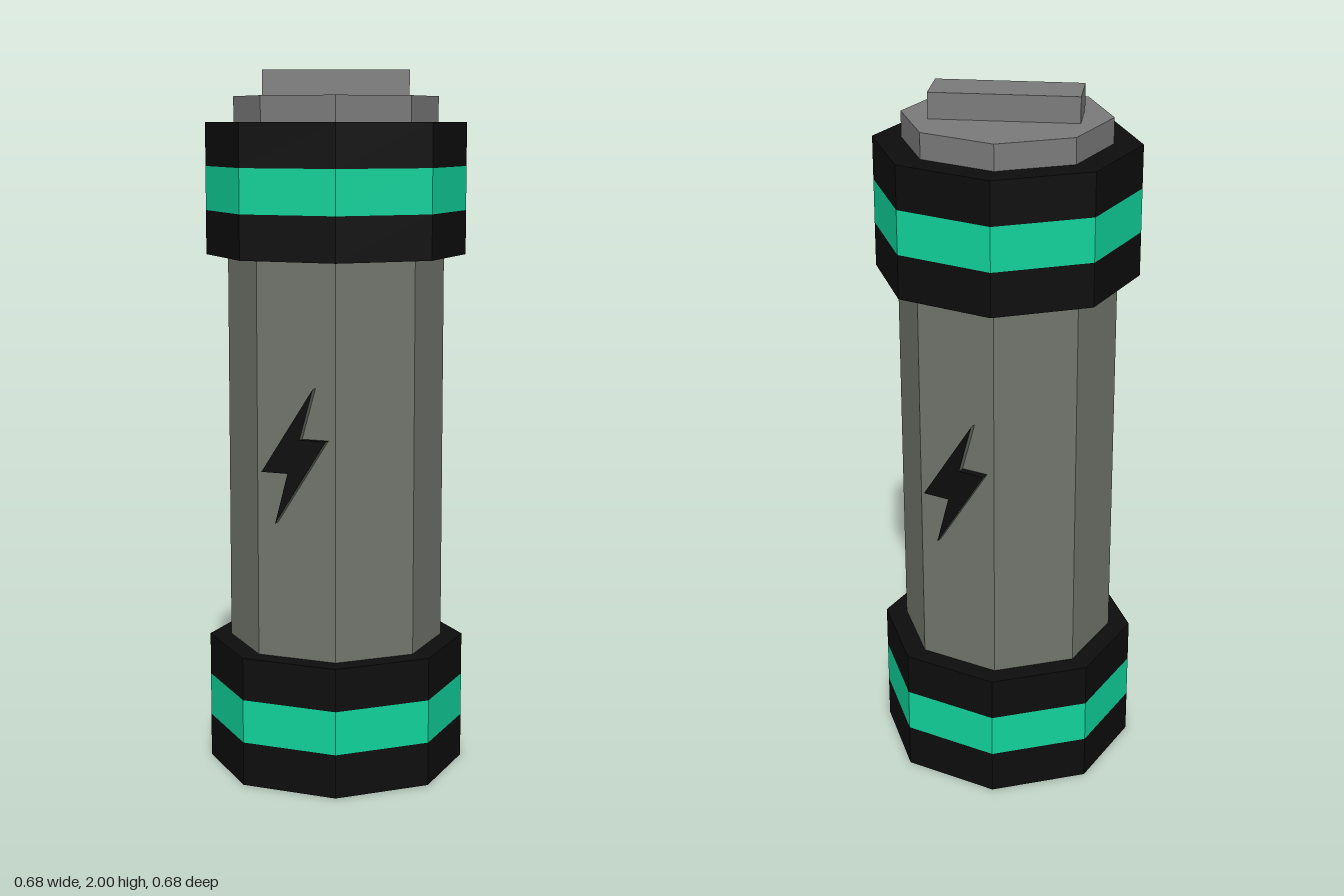
import * as THREE from 'three';

const paint = (color) => new THREE.MeshStandardMaterial({ color, flatShading: true });

export function createModel() {
  const model = new THREE.Group();
  model.name = 'battery';
  const black = paint(0x0d0d0d);
  const green = paint(0x10d39b);
  const bodyGrey = paint(0x72756d);
  const capGrey = paint(0x7a7a7a);

  const add = (name, geometry, material, parent = model) => {
    const mesh = new THREE.Mesh(geometry, material);
    mesh.name = name;
    parent.add(mesh);
    return mesh;
  };

  // Eight-sided prism with flat faces towards the axes
  const prism = (name, apothem, y0, y1, material, parent) => {
    const r = apothem / Math.cos(Math.PI / 8);
    const geometry = new THREE.CylinderGeometry(r, r, y1 - y0, 8);
    geometry.rotateY(Math.PI / 8);
    geometry.translate(0, (y0 + y1) / 2, 0);
    return add(name, geometry, material, parent);
  };

  prism('body', 0.284, 0.2, 1.7, bodyGrey);

  // Collars at both ends: black, green, black
  for (const [name, y] of [['lowerCollar', 0], ['upperCollar', 1.485]]) {
    const collar = new THREE.Group();
    collar.name = name;
    collar.position.y = y;
    model.add(collar);
    prism('lowerRing', 0.341, 0, 0.125, black, collar);
    prism('colourBand', 0.341, 0.125, 0.249, green, collar);
    prism('upperRing', 0.341, 0.249, 0.371, black, collar);
  }

  // Terminal cap and its turned grip bar
  prism('terminalCap', 0.267, 1.8, 1.928, capGrey);
  const bar = add('gripBar', new THREE.BoxGeometry(0.409, 0.08, 0.145), capGrey);
  bar.position.y = 1.96;
  bar.rotation.y = Math.PI / 8;

  // Raised flash symbol, front and back
  const points = [[0.058, 1.139], [-0.097, 0.9], [-0.018, 0.9],
    [-0.056, 0.757], [0.096, 0.996], [0.018, 0.996]];
  const outline = new THREE.Shape(points.map(([x, y]) => new THREE.Vector2(x, y)));
  const flash = new THREE.ExtrudeGeometry(outline, { depth: 0.03, bevelEnabled: false });
  flash.translate(0, 0, 0.274);
  // The edges facing one way take the body colour
  const normals = flash.attributes.normal;
  flash.clearGroups();
  for (let i = 0; i < normals.count; i += 3) flash.addGroup(i, 3, normals.getX(i) > 0.1 ? 1 : 0);
  add('frontFlash', flash, [black, bodyGrey]);
  add('backFlash', flash, [black, bodyGrey]).rotation.y = Math.PI;

  return model;
}
